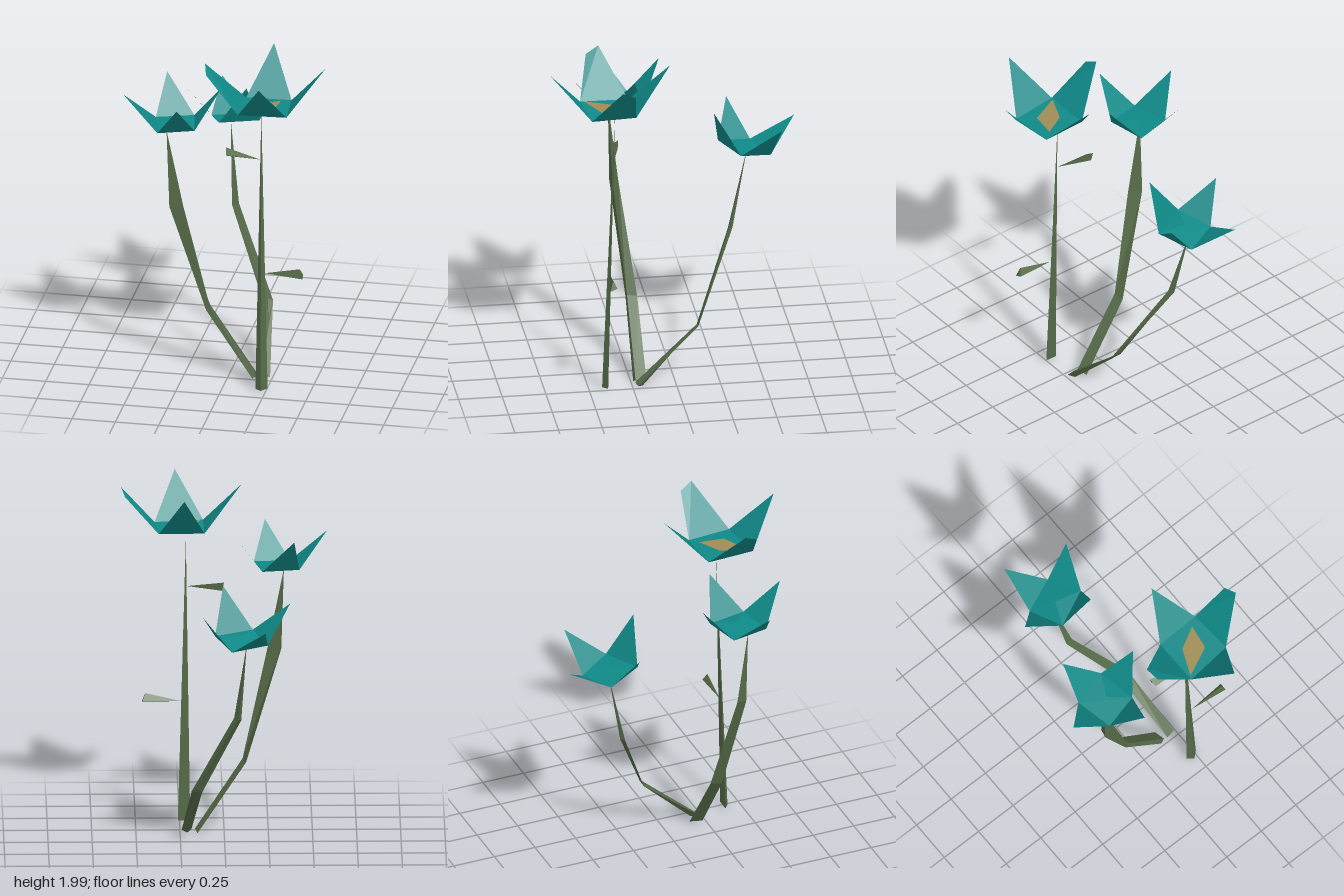
import * as THREE from 'three';

const material = (name, color) =>
  new THREE.MeshStandardMaterial({ name, color, flatShading: true, side: THREE.DoubleSide });

// Faceted mesh from convex polygons, each a list of [x, y, z] corners
function facets(name, polygons, mat) {
  const points = [];
  for (const p of polygons)
    for (let i = 1; i < p.length - 1; i++) points.push(...p[0], ...p[i], ...p[i + 1]);
  const geometry = new THREE.BufferGeometry();
  geometry.setAttribute('position', new THREE.Float32BufferAttribute(points, 3));
  geometry.computeVertexNormals();
  const mesh = new THREE.Mesh(geometry, mat);
  mesh.name = name;
  return mesh;
}

// Three-sided stem through triangular rings, tapering to a point
function stem(name, rings, tip, mat) {
  const polygons = [rings[0]];
  rings.forEach((ring, r) => {
    const next = rings[r + 1];
    for (let i = 0; i < 3; i++) {
      const j = (i + 1) % 3;
      polygons.push(next ? [ring[i], ring[j], next[j], next[i]] : [ring[i], ring[j], tip]);
    }
  });
  return facets(name, polygons, mat);
}

// Cup floor with one petal per side; tips[i] lists the outer corners on side i
function flower(name, floor, tips, mat) {
  const group = new THREE.Group();
  group.name = name;
  group.add(facets('cupFloor', [floor], mat));
  tips.forEach((tip, i) =>
    group.add(facets('petal' + (i + 1), [[floor[i], floor[(i + 1) % 4], ...tip]], mat)));
  return group;
}

export function createModel() {
  const teal = material('petal teal', 0x0f8a88);
  const green = material('stem green', 0x566b48);
  const ochre = material('centre ochre', 0xa08c56);
  const model = new THREE.Group();
  model.name = 'flowers';

  // Tall flower; floor corners run back-left, back-right, front-right, front-left
  const tall = flower('tallFlower',
    [[0.11, 1.75, 0.26], [0.37, 1.75, 0.25], [0.39, 1.75, 0.505], [0.115, 1.755, 0.535]],
    [
      [[0.227, 2, 0.035]],
      [[0.583, 2, 0.355], [0.56, 1.96, 0.28]],
      [[0.273, 2, 0.73]],
      [[-0.1, 2, 0.4], [-0.08, 1.96, 0.475]].reverse(),
    ].map((t, i) => (i === 3 ? t.reverse() : t)), teal);
  tall.add(facets('flowerCentre',
    [[[0.125, 1.76, 0.515], [0.297, 1.758, 0.434], [0.317, 1.758, 0.29], [0.19, 1.758, 0.36]]], ochre));

  // Left flower with an inner flap
  const left = flower('leftFlower',
    [[-0.426, 1.555, 0.187], [-0.215, 1.56, 0.13], [-0.17, 1.56, 0.355], [-0.375, 1.55, 0.406]],
    [[[-0.395, 1.765, 0.01]], [[-0.04, 1.775, 0.2]], [[-0.235, 1.755, 0.55]], [[-0.585, 1.745, 0.34]]], teal);
  left.add(facets('innerFlap',
    [[[-0.215, 1.56, 0.13], [-0.17, 1.56, 0.355], [-0.285, 1.58, 0.265]]], teal));

  // Rear flower, slightly tilted, with an inner flap
  const rear = flower('rearFlower',
    [[-0.238, 1.3, -0.488], [-0.035, 1.285, -0.578], [0.059, 1.33, -0.395], [-0.156, 1.34, -0.293]],
    [[[-0.223, 1.44, -0.738]], [[0.133, 1.505, -0.62]], [[0.012, 1.585, -0.246]], [[-0.367, 1.515, -0.37]]], teal);
  rear.add(facets('innerFlap',
    [[[-0.156, 1.34, -0.293], [0.059, 1.33, -0.395], [-0.1, 1.345, -0.43]]], teal));

  // Stems
  const tallStem = stem('tallStem',
    [[[0.19, 0.02, 0.398], [0.26, 0.025, 0.395], [0.225, 0.02, 0.425]]], [0.215, 1.7, 0.35], green);
  const leftStem = stem('leftStem', [
    [[0.14, 0.01, 0.235], [0.165, 0.025, 0.225], [0.152, 0.015, 0.16]],
    [[-0.125, 0.41, 0.24], [-0.105, 0.435, 0.235], [-0.115, 0.42, 0.175]],
    [[-0.325, 1.06, 0.305], [-0.245, 1.06, 0.295], [-0.315, 1.06, 0.255]],
  ], [-0.34, 1.53, 0.31], green);
  const rearStem = stem('rearStem', [
    [[0.185, 0.02, 0.23], [0.24, 0.02, 0.22], [0.21, 0.01, 0.19]],
    [[0.13, 0.335, -0.13], [0.188, 0.345, -0.13], [0.155, 0.36, -0.145]],
    [[-0.09, 0.82, -0.34], [-0.05, 0.835, -0.34], [-0.075, 0.83, -0.365]],
  ], [-0.12, 1.3, -0.455], green);

  // Leaves are thin wedges pointing at the tall stem
  const upperLeaf = stem('upperLeaf',
    [[[0, 1.45, 0.3], [0.01, 1.4, 0.305], [0.01, 1.42, 0.345]]], [0.21, 1.415, 0.355], green);
  const lowerLeaf = stem('lowerLeaf',
    [[[0.445, 0.775, 0.395], [0.465, 0.72, 0.41], [0.46, 0.735, 0.37]]], [0.24, 0.73, 0.385], green);

  model.add(tall, left, rear, tallStem, leftStem, rearStem, upperLeaf, lowerLeaf);
  return model;
}
